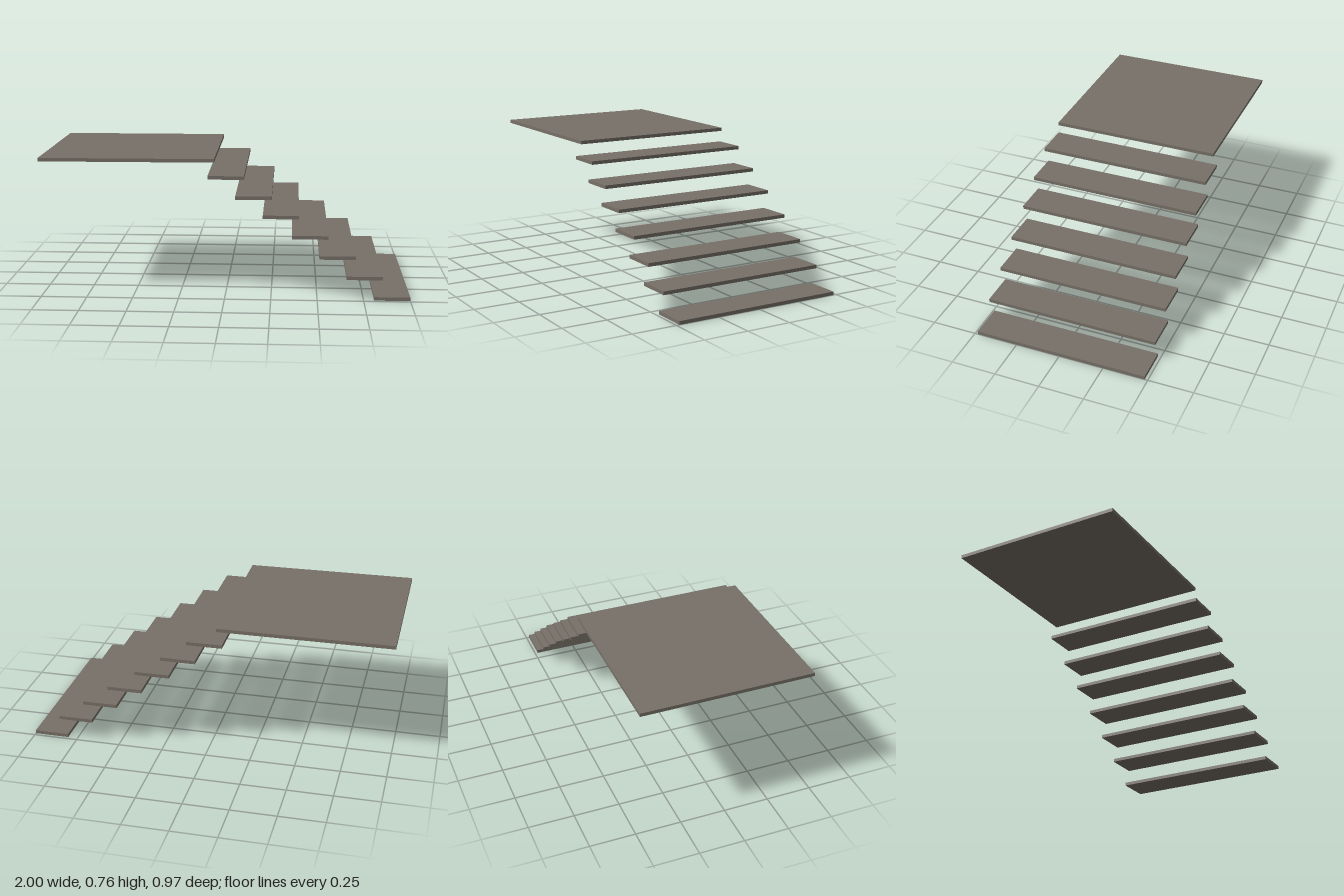
import * as THREE from 'three';

export function createModel() {
  const group = new THREE.Group();
  group.name = 'floatingStairs';
  const stone = new THREE.MeshStandardMaterial({ color: 0x777067 });
  stone.name = 'warm grey stone';
  const thickness = 0.019;

  // Floating treads, lowest first: [centre x, underside y]
  const treads = [
    [0.903, 0], [0.754, 0.112], [0.606, 0.223], [0.459, 0.333],
    [0.301, 0.442], [0.154, 0.545], [0.006, 0.653],
  ];
  const treadGeometry = new THREE.BoxGeometry(0.194, thickness, 0.966);
  treads.forEach(([x, y], i) => {
    const tread = new THREE.Mesh(treadGeometry, stone);
    tread.name = `tread${i + 1}`;
    tread.position.set(x, y + thickness / 2, 0);
    group.add(tread);
  });

  // Landing slab, very slightly out of square
  const outline = new THREE.Shape([
    new THREE.Vector2(-1, -0.472),
    new THREE.Vector2(-0.057, -0.465),
    new THREE.Vector2(-0.057, 0.47),
    new THREE.Vector2(-1, 0.471),
  ]);
  const landingGeometry = new THREE.ExtrudeGeometry(outline, { depth: thickness, bevelEnabled: false });
  landingGeometry.rotateX(-Math.PI / 2);
  const landing = new THREE.Mesh(landingGeometry, stone);
  landing.name = 'landing';
  landing.position.y = 0.741;
  group.add(landing);

  return group;
}
